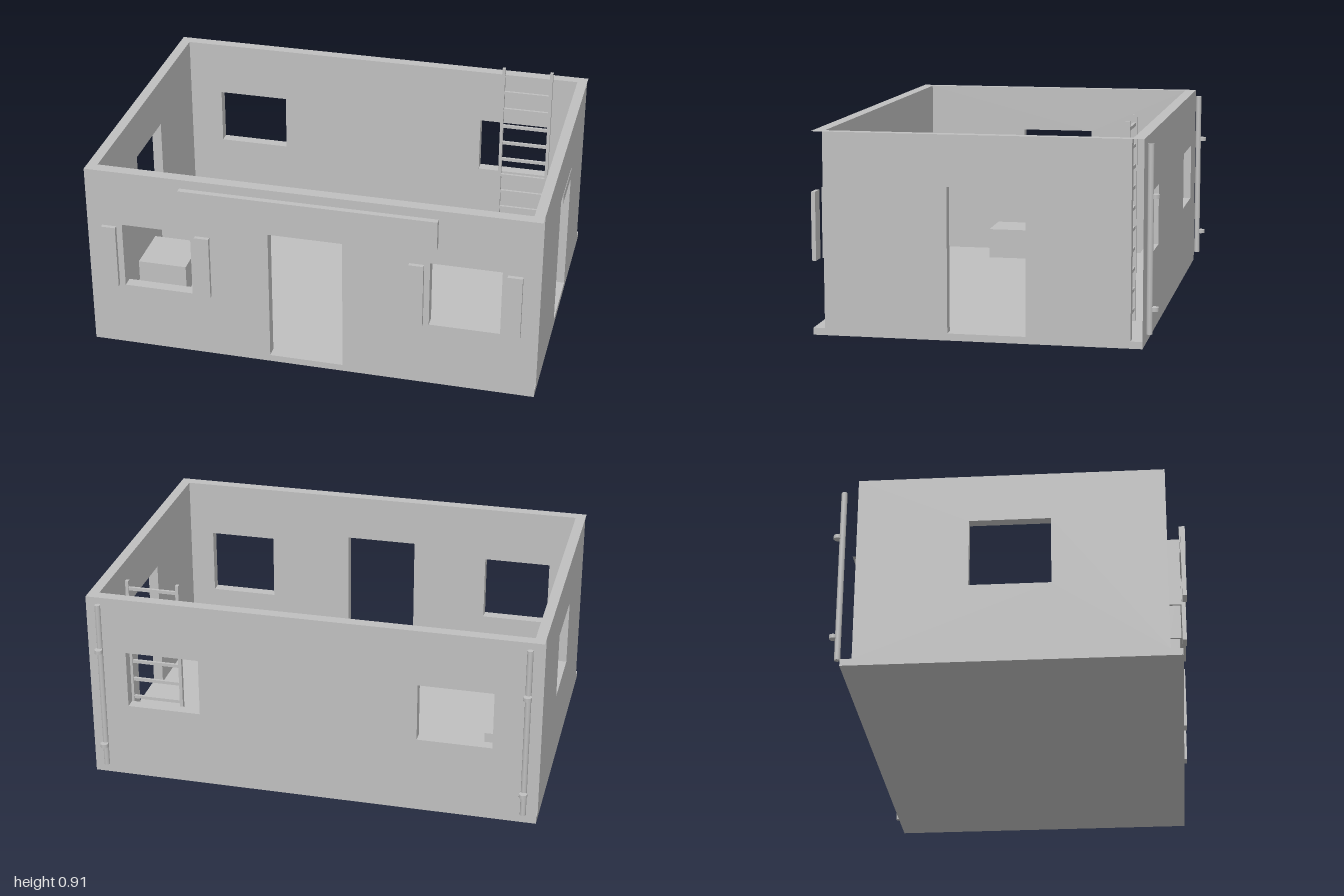
import * as THREE from 'three';

export function createModel() {
  const model = new THREE.Group();
  const plaster = new THREE.MeshStandardMaterial({ color: 0xbfbfbf });
  plaster.name = 'plain grey';

  const FLOOR = 0.03, TOP = 0.855;
  const LEFT = 0.985, RIGHT = -0.988, FRONT = 0.705, BACK = -0.677;
  const IN_FRONT = 0.655, IN_BACK = -0.628, THICK = 0.045;

  function add(name, geometry, x = 0, y = 0, z = 0) {
    const mesh = new THREE.Mesh(geometry, plaster);
    mesh.name = name;
    mesh.position.set(x, y, z);
    model.add(mesh);
    return mesh;
  }

  // box from its lower and upper corners
  function block(name, x0, x1, y0, y1, z0, z1) {
    return add(name, new THREE.BoxGeometry(x1 - x0, y1 - y0, z1 - z0),
      (x0 + x1) / 2, (y0 + y1) / 2, (z0 + z1) / 2);
  }

  // thin facing strip, turned about y to face outwards
  function strip(name, width, height, x, y, z, turn) {
    add(name, new THREE.PlaneGeometry(width, height), x, y, z).rotation.y = turn;
  }

  // wall with window holes and an optional door notch: [from, to, bottom, top]
  function wallGeometry(a, b, depth, windows, door) {
    const shape = new THREE.Shape();
    shape.moveTo(a, FLOOR);
    if (door) {
      shape.lineTo(door[0], FLOOR);
      shape.lineTo(door[0], door[3]);
      shape.lineTo(door[1], door[3]);
      shape.lineTo(door[1], FLOOR);
    }
    shape.lineTo(b, FLOOR);
    shape.lineTo(b, TOP);
    shape.lineTo(a, TOP);
    shape.closePath();
    for (const [l, r, low, high] of windows) {
      const hole = new THREE.Path();
      hole.moveTo(l, low);
      hole.lineTo(l, high);
      hole.lineTo(r, high);
      hole.lineTo(r, low);
      hole.closePath();
      shape.holes.push(hole);
    }
    return new THREE.ExtrudeGeometry(shape, { depth, bevelEnabled: false });
  }

  // leave the two ends of a long wall open
  function openEnds(geometry, a, b) {
    const p = geometry.attributes.position, kept = [];
    for (let i = 0; i < p.count; i += 3) {
      const atEnd = (e) => [0, 1, 2].every((k) => Math.abs(p.getX(i + k) - e) < 1e-4);
      if (atEnd(a) || atEnd(b)) continue;
      for (let k = 0; k < 3; k++) kept.push(p.getX(i + k), p.getY(i + k), p.getZ(i + k));
    }
    const open = new THREE.BufferGeometry();
    open.setAttribute('position', new THREE.Float32BufferAttribute(kept, 3));
    open.computeVertexNormals();
    return open;
  }

  // floor slab
  block('floor', RIGHT, LEFT, 0, FLOOR, BACK, FRONT);

  // walls
  const frontWindows = [[-0.842, -0.515, 0.297, 0.6], [0.512, 0.838, 0.297, 0.6]];
  const backWindows = [[-0.79, -0.465, 0.343, 0.603], [0.493, 0.818, 0.343, 0.603]];
  const frontDoor = [-0.18, 0.145, FLOOR, 0.645];
  const sideDoor = [-0.195, 0.132, FLOOR, 0.64];
  const sideWindow = [-0.16, 0.18, 0.345, 0.643];

  add('frontWall', openEnds(
    wallGeometry(RIGHT, LEFT, FRONT - IN_FRONT, frontWindows, frontDoor), RIGHT, LEFT), 0, 0, IN_FRONT);
  add('backWall', openEnds(
    wallGeometry(RIGHT, LEFT, IN_BACK - BACK, backWindows), RIGHT, LEFT), 0, 0, BACK);
  add('leftWall', wallGeometry(IN_BACK, IN_FRONT, THICK, [], sideDoor), LEFT).rotation.y = -Math.PI / 2;
  add('rightWall', wallGeometry(IN_BACK, IN_FRONT, THICK, [sideWindow]), RIGHT + THICK).rotation.y = -Math.PI / 2;

  // window posts, sills and shutters
  const POST = 0.01;
  for (const [l, r, low, high] of frontWindows) {
    block('frontWindowPost', l, l + POST, low, high, IN_FRONT, FRONT);
    block('frontWindowPost', r - POST, r, low, high, IN_FRONT, FRONT);
    strip('frontSill', r - l + 0.033, 0.022, (l + r) / 2, 0.287, FRONT + 0.01, 0);
    block('shutter', l - 0.078, l - 0.014, 0.3, 0.592, FRONT + 0.005, 0.728);
    block('shutter', r + 0.014, r + 0.078, 0.3, 0.592, FRONT + 0.005, 0.728);
  }
  for (const [l, r, low] of backWindows) {
    strip('backSill', r - l + 0.035, 0.022, (l + r) / 2, low - 0.011, BACK - 0.01, Math.PI);
  }

  // door lintels and the blank board over the front door
  strip('frontLintel', 0.365, 0.04, -0.018, 0.667, FRONT + 0.01, 0);
  strip('sideLintel', 0.368, 0.04, LEFT + 0.012, 0.665, -0.03, Math.PI / 2);
  block('signBoard', -0.562, 0.555, 0.687, 0.817, FRONT + 0.005, 0.736);

  // crates on the floor
  block('crate', -0.915, -0.69, FLOOR, 0.172, -0.255, -0.02);
  block('crate', -0.915, -0.69, FLOOR, 0.172, 0.075, 0.31);

  // ladder
  for (const x of [0.602, 0.825]) block('ladderRail', x - 0.007, x + 0.007, FLOOR, 0.907, -0.597, -0.578);
  for (let i = 0; i < 10; i++) {
    const y = 0.87 - i * 0.0875;
    block('ladderRung', 0.609, 0.818, y - 0.007, y + 0.007, -0.593, -0.581);
  }

  // drainpipes with two collars each
  for (const x of [-0.933, 0.926]) {
    add('drainpipe', new THREE.CylinderGeometry(0.013, 0.013, 0.78, 8), x, 0.44, -0.697);
    for (const y of [0.155, 0.618]) {
      add('pipeCollar', new THREE.CylinderGeometry(0.018, 0.018, 0.017, 8), x, y, -0.717);
    }
  }
  return model;
}
